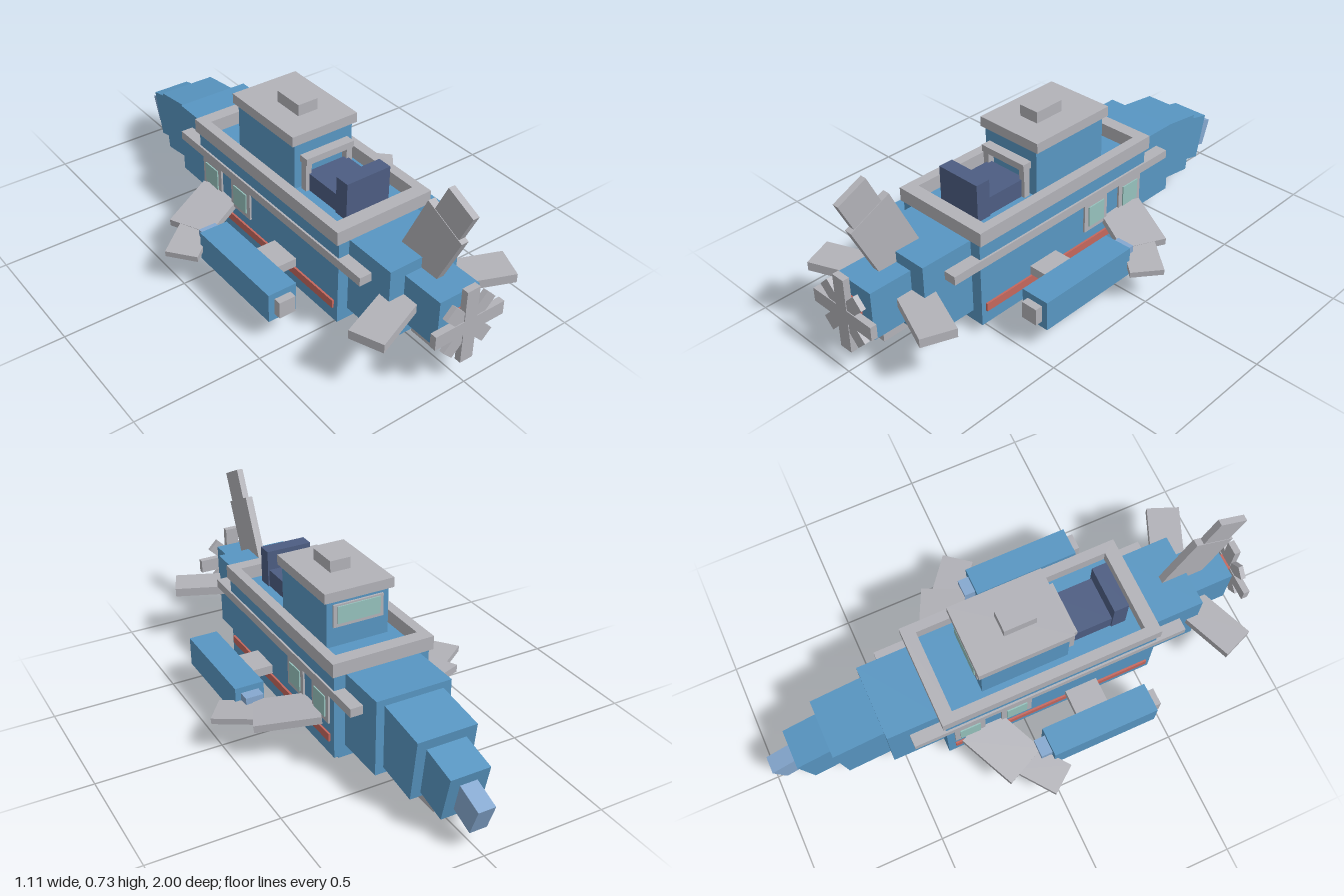
import * as THREE from 'three';

const mat = (name, color) => {
  const m = new THREE.MeshStandardMaterial({ color });
  m.name = name;
  return m;
};
const rad = THREE.MathUtils.degToRad;

export function createModel() {
  const blue = mat('hull blue', 0x5896c2);
  const grey = mat('trim grey', 0xb2b2b8);
  const navy = mat('seat navy', 0x4d5d82);
  const teal = mat('window teal', 0x96c2bd);
  const red = mat('accent red', 0xc4675d);
  const pale = mat('pale blue', 0x85a8cf);
  const model = new THREE.Group();
  model.name = 'airship';

  // box from its extents
  const span = (name, m, x0, x1, y0, y1, z0, z1) => {
    const mesh = new THREE.Mesh(new THREE.BoxGeometry(x1 - x0, y1 - y0, z1 - z0), m);
    mesh.position.set((x0 + x1) / 2, (y0 + y1) / 2, (z0 + z1) / 2);
    mesh.name = name;
    model.add(mesh);
    return mesh;
  };
  // box centred on x = 0
  const mid = (name, m, hx, y0, y1, z0, z1) => span(name, m, -hx, hx, y0, y1, z0, z1);
  // the same box on both sides
  const pair = (name, m, x0, x1, ...yz) => {
    span(name + 'Left', m, x0, x1, ...yz);
    span(name + 'Right', m, -x1, -x0, ...yz);
  };
  // tilted box, angles in degrees
  const tilted = (name, m, size, pos, rot) => {
    const mesh = new THREE.Mesh(new THREE.BoxGeometry(...size), m);
    mesh.position.set(...pos);
    mesh.rotation.set(...rot.map(rad));
    mesh.name = name;
    model.add(mesh);
  };

  // hull
  mid('hull', blue, 0.198, 0.046, 0.398, -0.335, 0.55);
  mid('keel', blue, 0.153, 0, 0.046, -0.287, 0.5);
  mid('foreBlock', blue, 0.153, 0.09, 0.396, 0.55, 0.767);
  mid('nose', blue, 0.087, 0.155, 0.352, 0.767, 0.94);
  mid('aftBlock', blue, 0.153, 0.09, 0.396, -0.55, -0.335);

  // drooping, tapering tail
  tilted('tailOne', blue, [0.24, 0.254, 0.26], [0, 0.234, -0.614], [-7.5, 0, 0]);
  tilted('tailTwo', blue, [0.16, 0.193, 0.2], [0, 0.197, -0.78], [-13, 0, 0]);
  tilted('tailTip', pale, [0.07, 0.116, 0.16], [0, 0.161, -0.903], [-20, 0, 0]);
  mid('tailGun', grey, 0.035, 0.02, 0.092, -0.75, -0.64);
  mid('tailGunMuzzle', grey, 0.018, 0.035, 0.072, -0.766, -0.75);

  // frame around the sunken deck
  const rimShape = new THREE.Shape([[-0.21, -0.555], [0.21, -0.555], [0.21, 0.347], [-0.21, 0.347]]
    .map(p => new THREE.Vector2(...p)));
  rimShape.holes.push(new THREE.Path([[-0.17, -0.5], [-0.17, 0.293], [0.17, 0.293], [0.17, -0.5]]
    .map(p => new THREE.Vector2(...p))));
  const rim = new THREE.Mesh(new THREE.ExtrudeGeometry(rimShape, { depth: 0.055, bevelEnabled: false }), grey);
  rim.rotation.x = -Math.PI / 2;
  rim.position.y = 0.398;
  rim.name = 'deckRim';
  model.add(rim);

  // hull sides: rubbing rails, stripes and windows
  pair('sideRail', grey, 0.155, 0.206, 0.3, 0.335, -0.465, 0.675);
  pair('sideStripe', red, 0.19, 0.206, 0.102, 0.135, -0.305, 0.53);
  for (const z of [-0.045, -0.241]) {
    pair('windowFrame', grey, 0.19, 0.206, 0.18, 0.302, z - 0.063, z + 0.063);
    pair('windowGlass', teal, 0.204, 0.211, 0.2, 0.286, z - 0.042, z + 0.042);
  }

  // cabin
  mid('cabin', blue, 0.13, 0.39, 0.595, -0.155, 0.2);
  mid('cabinRoof', grey, 0.145, 0.59, 0.63, -0.17, 0.21);
  mid('roofHatch', grey, 0.043, 0.63, 0.676, -0.025, 0.105);
  mid('rearWindowFrame', grey, 0.105, 0.48, 0.572, -0.163, -0.15);
  mid('rearWindowGlass', teal, 0.09, 0.495, 0.565, -0.168, -0.16);

  // bench and handrail on deck
  mid('seatBase', navy, 0.09, 0.398, 0.47, 0.22, 0.4);
  mid('seatBack', navy, 0.096, 0.398, 0.55, 0.4, 0.46);
  mid('handrail', grey, 0.107, 0.513, 0.54, 0.203, 0.243);
  pair('handrailPost', grey, 0.08, 0.105, 0.398, 0.513, 0.21, 0.237);

  // fins at the nose
  tilted('upperFin', grey, [0.03, 0.28, 0.183], [0, 0.468, 0.796], [25, 0, 0]);
  tilted('upperFinTip', grey, [0.026, 0.14, 0.13], [0, 0.639, 0.885], [25, 0, 0]);
  mid('lowerFin', grey, 0.021, 0.056, 0.2, 0.747, 0.855);

  // propeller
  mid('propellerShaft', red, 0.033, 0.224, 0.29, 0.93, 0.975);
  for (let i = 0; i < 4; i++) {
    const diagonal = i % 2;
    tilted('propellerBlade', grey, [diagonal ? 0.252 : 0.306, 0.056, diagonal ? 0.02 : 0.026],
      [0, 0.254, 0.986], [0, 0, i * 45]);
  }

  // engine pods
  pair('podStrut', grey, 0.19, 0.34, 0.14, 0.176, 0.17, 0.305);
  pair('pod', blue, 0.31, 0.428, 0.1, 0.219, 0.016, 0.457);
  pair('podIntake', grey, 0.335, 0.403, 0.125, 0.193, 0.45, 0.487);
  pair('podNozzle', pale, 0.333, 0.405, 0.12, 0.195, -0.03, 0.02);

  // stabilisers and two-panel wings
  for (const s of [1, -1]) {
    const side = s > 0 ? 'Left' : 'Right';
    tilted('stabiliser' + side, grey, [0.28, 0.036, 0.133], [s * 0.195, 0.253, 0.805], [0, s * -22, 0]);
    tilted('wingInner' + side, grey, [0.25, 0.03, 0.18], [s * 0.294, 0.172, -0.149], [0, s * -25.5, s * -7]);
    tilted('wingOuter' + side, grey, [0.2, 0.024, 0.128], [s * 0.434, 0.154, -0.046], [0, s * -38, s * -5]);
  }
  return model;
}
